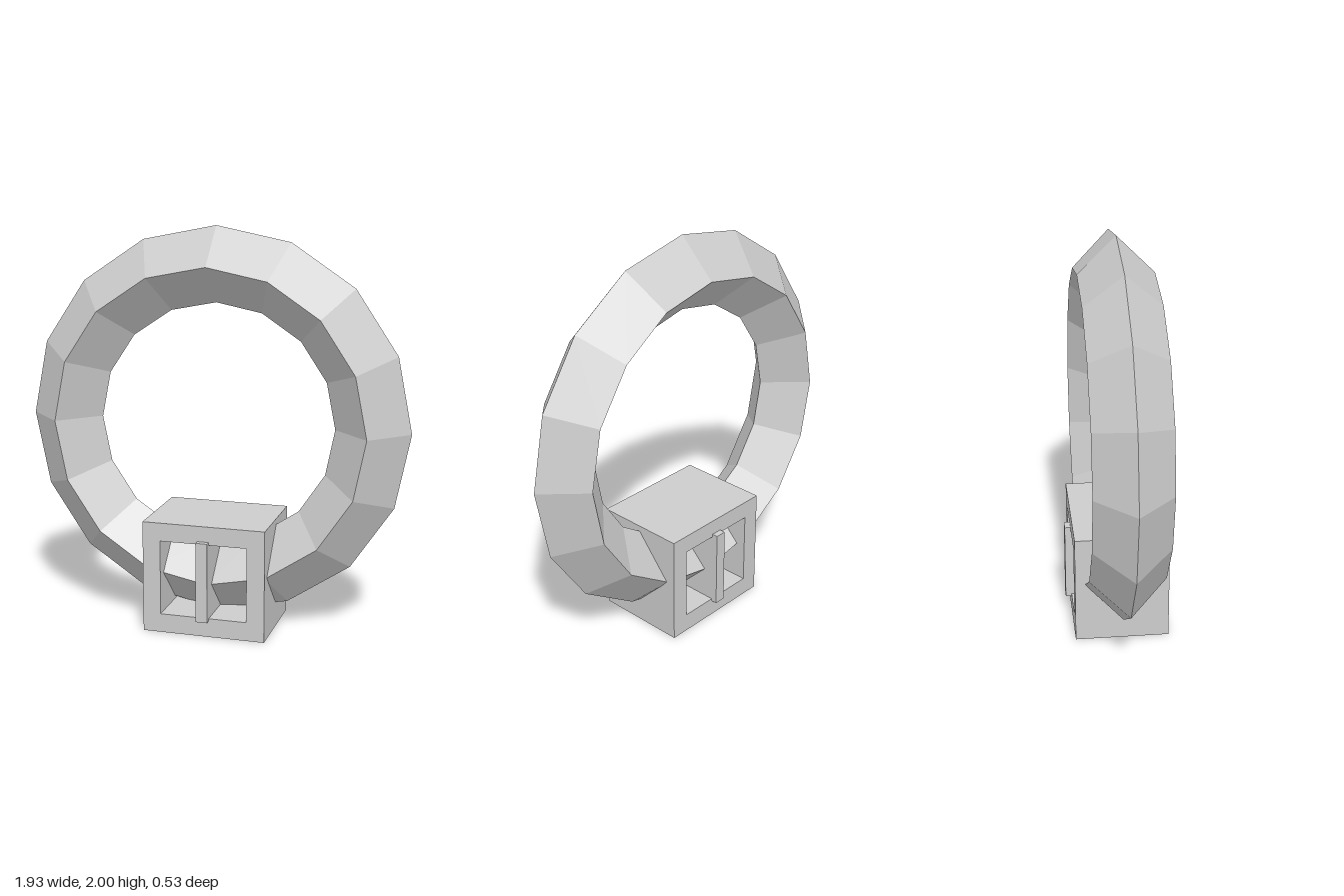
import * as THREE from 'three';

export function createModel() {
  const model = new THREE.Group();
  model.name = 'ringWithClasp';
  const metal = new THREE.MeshStandardMaterial({ color: 0xcccccc, flatShading: true });
  metal.name = 'plainGrey';

  const add = (name, geometry, y) => {
    const mesh = new THREE.Mesh(geometry, metal);
    mesh.name = name;
    mesh.position.y = y;
    model.add(mesh);
  };

  // Sixteen-sided hoop with a diamond cross-section
  add('hoop', new THREE.TorusGeometry(0.782, 0.185, 4, 16), 1.033);

  // Clasp block with a rectangular window running front to back
  const rect = (Path, x0, y0, x1, y1) => new Path([
    new THREE.Vector2(x0, y0), new THREE.Vector2(x1, y0),
    new THREE.Vector2(x1, y1), new THREE.Vector2(x0, y1),
  ]);
  const frame = rect(THREE.Shape, -0.31, 0, 0.31, 0.565);
  frame.holes.push(rect(THREE.Path, -0.22, 0.095, 0.22, 0.473));
  const frameDepth = 0.47;
  const clasp = new THREE.ExtrudeGeometry(frame, { depth: frameDepth, bevelEnabled: false });
  clasp.translate(0, 0, -frameDepth / 2);
  add('claspFrame', clasp, 0);

  // Upright bar passing through the whole clasp
  add('claspBar', new THREE.BoxGeometry(0.058, 0.405, 0.53), 0.285);

  return model;
}
